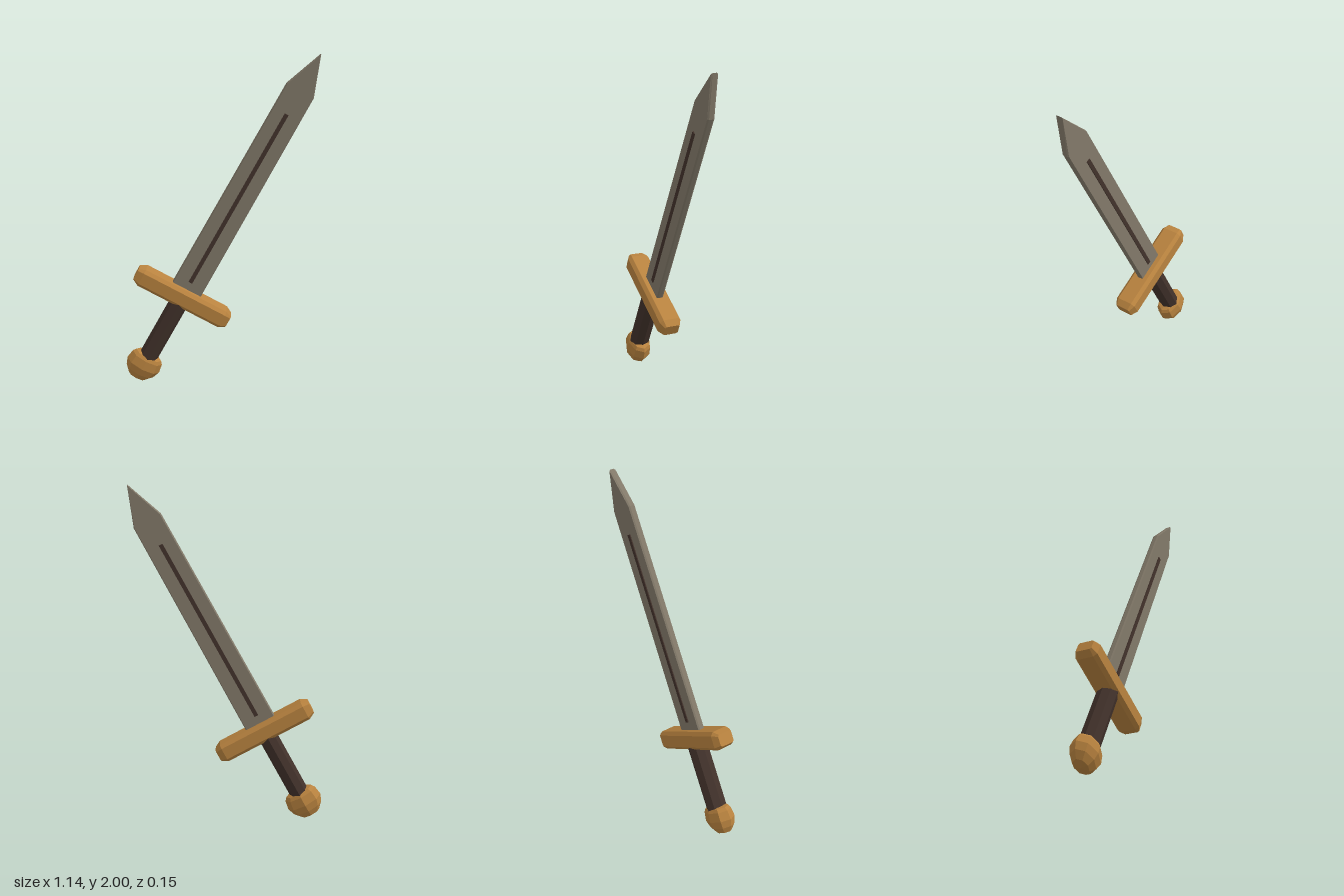
import * as THREE from 'three';

const material = (name, color) => {
  const m = new THREE.MeshStandardMaterial({ color });
  m.name = name;
  return m;
};

// Give every face its own normal for the low-poly look
const faceted = (geometry) => {
  const g = geometry.index ? geometry.toNonIndexed() : geometry;
  g.computeVertexNormals();
  return g;
};

// Extrude an outline, centred in depth, with a one-step chamfer inside it
const chamferedSlab = (outline, depth, bevelThickness, bevelSize) => {
  const shape = new THREE.Shape(outline.map(([x, y]) => new THREE.Vector2(x, y)));
  const inner = depth - 2 * bevelThickness;
  return new THREE.ExtrudeGeometry(shape, {
    depth: inner, bevelEnabled: true, bevelSegments: 1,
    bevelThickness, bevelSize, bevelOffset: -bevelSize,
  }).translate(0, 0, -inner / 2);
};

export function createModel() {
  const steel = material('steel', 0x827969);
  const brass = material('brass', 0xb9833f);
  const leather = material('dark leather', 0x42322b);

  const sword = new THREE.Group();
  sword.name = 'sword';
  const add = (name, geometry, mat) => {
    const mesh = new THREE.Mesh(faceted(geometry), mat);
    mesh.name = name;
    sword.add(mesh);
  };

  // Blade: slight taper, then a short point
  add('blade', chamferedSlab([
    [-0.096, 0.03], [0.096, 0.03], [0.088, 1.425], [0, 1.658], [-0.088, 1.425],
  ], 0.042, 0.009, 0.005), steel);

  // Dark strip standing slightly proud of both blade faces
  add('bladeStrip', new THREE.BoxGeometry(0.024, 1.156, 0.054).translate(-0.002, 0.694, 0), leather);

  // Crossguard: bar with chamfered edges and ends
  const w = 0.068, h = 0.056, c = 0.02;
  const section = [
    [-w, -h + c], [-w + c, -h], [w - c, -h], [w, -h + c],
    [w, h - c], [w - c, h], [-w + c, h], [-w, h - c],
  ];
  add('crossguard',
    chamferedSlab(section, 0.624, 0.04, 0.02).rotateY(Math.PI / 2).translate(0, 0.01, 0), brass);

  // Eight-sided grip
  add('grip', new THREE.CylinderGeometry(0.064, 0.064, 0.46, 8)
    .scale(0.9, 1, 1).translate(0, -0.22, 0), leather);

  // Pommel: faceted knob, flattened front to back
  const profile = [
    [0, -0.597], [0.058, -0.588], [0.092, -0.55], [0.109, -0.505],
    [0.1, -0.45], [0.085, -0.43], [0.04, -0.42], [0, -0.42],
  ].map(([r, y]) => new THREE.Vector2(r, y));
  add('pommel', new THREE.LatheGeometry(profile, 8).scale(1, 1, 0.71), brass);

  // Lean the sword towards its left
  sword.rotation.z = -0.4995;
  sword.position.set(-0.225, 0.545, 0);

  const model = new THREE.Group();
  model.name = 'leaningSword';
  model.add(sword);
  return model;
}
